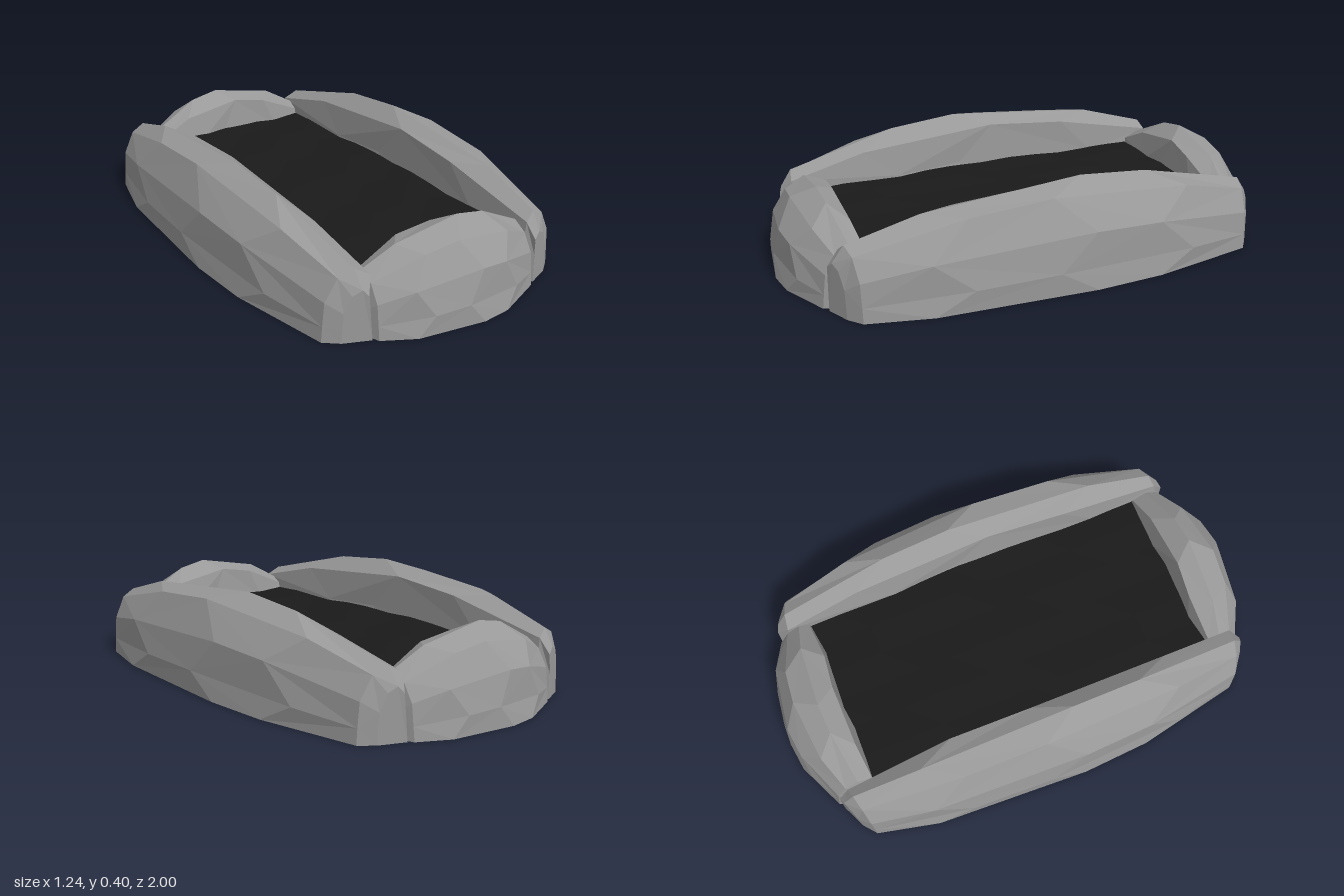
import * as THREE from 'three';

const stoneMaterial = new THREE.MeshStandardMaterial({ color: 0x999999, flatShading: true });
const soilMaterial = new THREE.MeshStandardMaterial({ color: 0x1a1a1a, flatShading: true, side: THREE.DoubleSide });

// Cross-sections: [outward, height], from the inner foot over the crest to the outer foot.
const SIDE = [[0.348, 0], [0.358, 0.2], [0.365, 0.352], [0.44, 0.4], [0.53, 0.36], [0.602, 0.23], [0.614, 0.09], [0.62, 0]];
const END = [[0.735, 0], [0.725, 0.18], [0.74, 0.31], [0.82, 0.35], [0.91, 0.3], [0.975, 0.2], [0.99, 0.08], [1, 0]];

// Faceted boulder: the section swept along z, tapering to blunt, slanted ends.
function stoneGeometry(section, halfLength, taper, slant) {
  const stations = [-1, -0.95, -0.52, 0, 0.52, 0.95, 1];
  const last = stations.length - 1;
  const inner = section[0][0];
  const rings = stations.map((t0, s) => section.map(([u, v], j) => {
    const tip = s === 0 || s === last;
    const edge = tip || s === 1 || s === last - 1;
    // staggered points give the chipped, diamond-shaped facets
    const t = edge ? t0 : t0 + (j % 2 ? 0.1 : -0.07) * (s % 2 ? -1 : 1);
    const wide = (1 - taper * Math.abs(t) ** 2.3) * (tip ? 0.62 : 1);
    const high = (1 - 0.38 * t * t) * (tip ? 0.8 : 1);
    const wobble = j < 3 ? 0.009 * Math.sin(s * 2.3 + j) : 0;
    const shift = tip ? 0.02 : 0;
    // the outer side of each end falls back from the inner side
    const back = edge ? Math.sign(t) * slant * (u - inner) : 0;
    return [inner + shift + (u - inner) * wide + wobble, v * high, t * halfLength - back];
  }));
  const positions = [];
  const tri = (...corners) => corners.forEach((p) => positions.push(...p));
  const n = section.length;
  for (let s = 0; s < last; s++) {
    for (let j = 0; j < n; j++) {
      const k = (j + 1) % n;
      const a = rings[s][j], b = rings[s][k], c = rings[s + 1][k], d = rings[s + 1][j];
      if ((s + j) % 2) { tri(a, d, c); tri(a, c, b); } else { tri(a, d, b); tri(d, c, b); }
    }
  }
  // End caps
  for (let j = 1; j < n - 1; j++) {
    tri(rings[0][0], rings[0][j], rings[0][j + 1]);
    tri(rings[last][0], rings[last][j + 1], rings[last][j]);
  }
  const geometry = new THREE.BufferGeometry();
  geometry.setAttribute('position', new THREE.Float32BufferAttribute(positions, 3));
  geometry.computeVertexNormals();
  return geometry;
}

// Thin sheet of uneven soil
function soilGeometry() {
  const geometry = new THREE.PlaneGeometry(0.76, 1.54, 6, 12).rotateX(-Math.PI / 2);
  const p = geometry.attributes.position;
  for (let i = 0; i < p.count; i++) {
    const x = p.getX(i), z = p.getZ(i);
    p.setY(i, 0.008 * Math.cos(x * 13 + z * 5) * Math.cos(z * 11 - x * 4));
  }
  geometry.computeVertexNormals();
  return geometry;
}

export function createModel() {
  const group = new THREE.Group();
  group.name = 'stoneBorderedBed';
  const add = (name, geometry, material, turn = 0) => {
    const mesh = new THREE.Mesh(geometry, material);
    mesh.name = name;
    mesh.rotation.y = turn;
    group.add(mesh);
    return mesh;
  };

  // Long side stones, the second turned half round
  const side = stoneGeometry(SIDE, 0.88, 0.4, 0.15);
  add('leftStone', side, stoneMaterial);
  add('rightStone', side, stoneMaterial, Math.PI);

  // Short end stones
  const end = stoneGeometry(END, 0.37, 0.44, 0);
  add('frontStone', end, stoneMaterial, -Math.PI / 2);
  add('backStone', end, stoneMaterial, Math.PI / 2);

  // Soil between the stones
  add('soil', soilGeometry(), soilMaterial).position.y = 0.185;

  return group;
}
